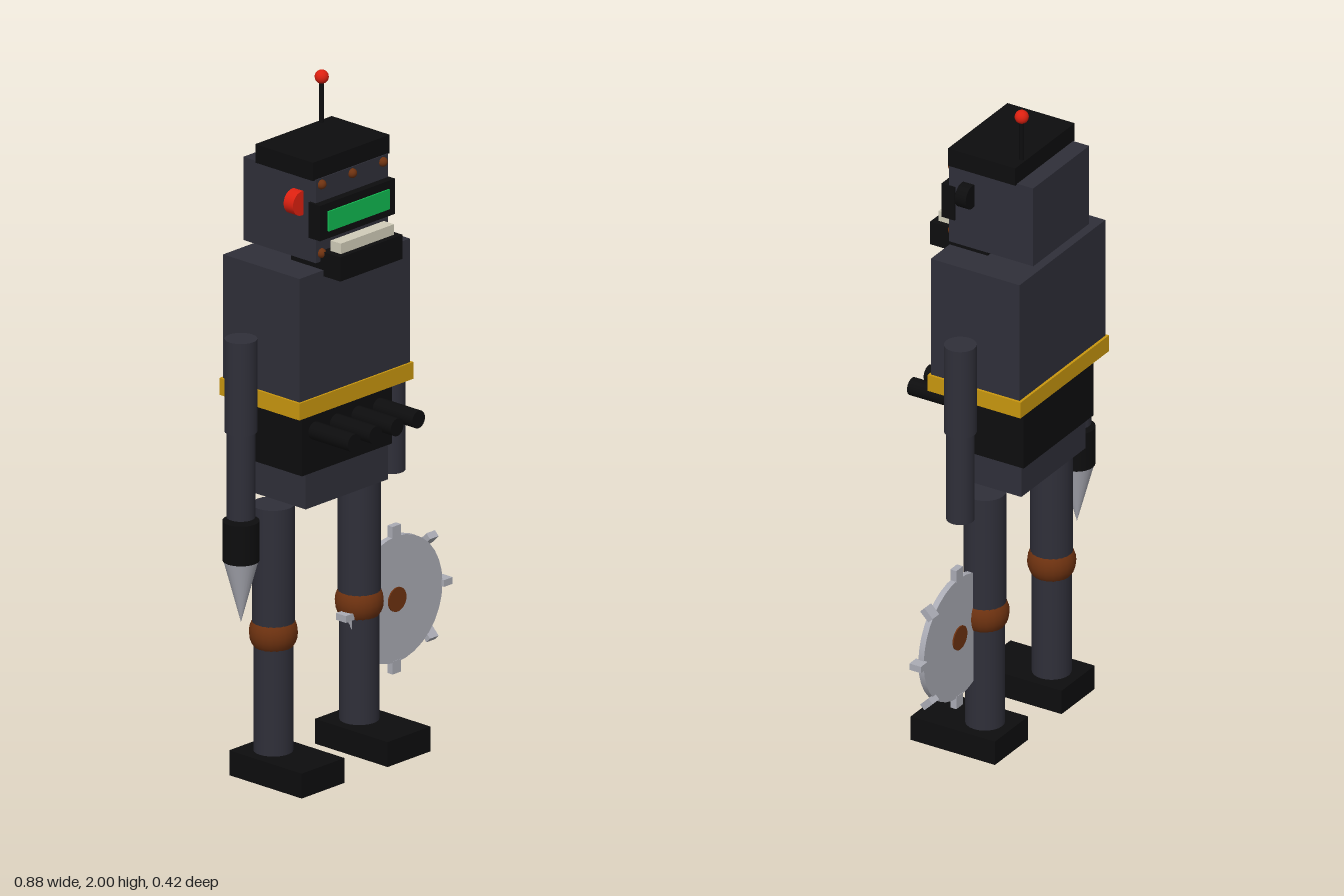
import * as THREE from 'three';

const mat = (name, color) => {
  const m = new THREE.MeshStandardMaterial({ color });
  m.name = name;
  return m;
};

export function createModel() {
  const steel = mat('dark steel', 0x2f2f39);
  const black = mat('black', 0x0d0d0e);
  const gold = mat('gold', 0xc8960f);
  const rust = mat('rust', 0x6e3210);
  const silver = mat('silver', 0xaaabb4);
  const red = mat('red', 0xdc2010);
  const green = mat('green glass', 0x10b850);
  const ivory = mat('ivory', 0xd0ccb8);

  const model = new THREE.Group();
  model.name = 'robot';
  const group = (name) => {
    const g = new THREE.Group();
    g.name = name;
    model.add(g);
    return g;
  };
  const add = (parent, name, geo, material, x, y, z) => {
    const m = new THREE.Mesh(geo, material);
    m.name = name;
    m.position.set(x, y, z);
    parent.add(m);
    return m;
  };
  // box given by its extents on each axis
  const box = (parent, name, material, [x0, x1], [y0, y1], [z0, z1]) =>
    add(parent, name, new THREE.BoxGeometry(x1 - x0, y1 - y0, z1 - z0), material,
      (x0 + x1) / 2, (y0 + y1) / 2, (z0 + z1) / 2);
  // upright cylinder between two heights
  const post = (parent, name, material, r, x, y0, y1, z, rBottom = r) =>
    add(parent, name, new THREE.CylinderGeometry(r, rBottom, y1 - y0, 24), material, x, (y0 + y1) / 2, z);
  // short cylinder along z
  const disc = (parent, name, material, r, depth, x, y, z, sides = 24) => {
    const geo = new THREE.CylinderGeometry(r, r, depth, sides).rotateX(Math.PI / 2);
    return add(parent, name, geo, material, x, y, z);
  };
  const ball = (parent, name, material, r, x, y, z) =>
    add(parent, name, new THREE.SphereGeometry(r, 20, 14), material, x, y, z);

  const CX = -0.083, CZ = -0.057;

  // Body
  const body = group('body');
  box(body, 'chest', steel, [-0.308, 0.142], [1.13, 1.522], [-0.202, 0.09]);
  box(body, 'belt', gold, [-0.315, 0.15], [1.105, 1.155], [-0.21, 0.096]);
  box(body, 'abdomen', black, [-0.266, 0.1], [0.917, 1.11], [-0.189, 0.06]);
  box(body, 'pelvis', steel, [-0.251, 0.085], [0.815, 0.917], [-0.172, 0.06]);
  for (let i = 0; i < 4; i++) {
    disc(body, 'exhaustPipe', black, 0.026, 0.17, CX + (i - 1.5) * 0.0875, 1.04, 0.126);
  }

  // Head
  const head = group('head');
  box(head, 'skull', steel, [-0.23, 0.064], [1.545, 1.792], [-0.198, 0.079]);
  box(head, 'cap', black, [-0.238, 0.074], [1.79, 1.845], [-0.145, 0.076]);
  box(head, 'visorFrame', black, [-0.238, 0.068], [1.618, 1.723], [0.058, 0.102]);
  box(head, 'visorGlass', green, [-0.206, 0.042], [1.64, 1.699], [0.1, 0.107]);
  box(head, 'jaw', black, [-0.21, 0.043], [1.504, 1.576], [-0.035, 0.154]);
  box(head, 'teeth', ivory, [-0.19, 0.027], [1.574, 1.607], [0.098, 0.137]);
  for (const dx of [-0.125, 0, 0.125]) {
    ball(head, 'rivet', rust, 0.014, CX + dx, 1.774, 0.08);
    if (dx) ball(head, 'rivet', rust, 0.014, CX + dx, 1.57, 0.08);
  }
  disc(head, 'rightEar', red, 0.036, 0.036, -0.237, 1.713, 0.014);
  disc(head, 'leftEar', black, 0.036, 0.036, 0.073, 1.713, 0.014);
  post(head, 'antennaRod', black, 0.007, 0.019, 1.84, 1.975, -0.132);
  ball(head, 'antennaTip', red, 0.02, 0.019, 1.98, -0.132);

  // Legs
  for (const [side, x] of [['left', 0.092], ['right', -0.258]]) {
    const leg = group(side + 'Leg');
    post(leg, 'thigh', steel, 0.06, x, 0.425, 0.805, CZ);
    post(leg, 'shin', steel, 0.056, x, 0.04, 0.425, CZ);
    ball(leg, 'knee', rust, 0.069, x, 0.425, CZ);
    box(leg, 'foot', black, [x - 0.087, x + 0.087], [0, 0.074], [-0.144, 0.133]);
  }

  // Arms
  for (const [side, x, bottom] of [['left', 0.223, 0.778], ['right', -0.389, 0.8]]) {
    const arm = group(side + 'Arm');
    post(arm, 'upperArm', steel, 0.046, x, 1.055, 1.33, -0.058);
    post(arm, 'forearm', steel, 0.04, x, bottom, 1.06, -0.058);
  }

  // Spike on the right wrist
  const spike = group('spikeHand');
  post(spike, 'cuff', black, 0.052, -0.389, 0.672, 0.79, -0.058);
  post(spike, 'spike', silver, 0.05, -0.389, 0.488, 0.674, -0.058, 0);

  // Saw below the left arm, each tooth twisted about x by its angle
  const saw = group('sawHand');
  const sx = 0.222, sy = 0.398, sz = -0.045;
  disc(saw, 'sawBlade', silver, 0.187, 0.018, sx, sy, sz, 32);
  disc(saw, 'sawHub', rust, 0.036, 0.026, sx, sy, sz);
  for (let i = 0; i < 8; i++) {
    const a = (i / 8) * Math.PI * 2;
    const tooth = add(saw, 'sawTooth', new THREE.BoxGeometry(0.035, 0.02, 0.038), silver,
      sx + Math.cos(a) * 0.2, sy + Math.sin(a) * 0.2, sz);
    tooth.rotation.x = -a;
  }

  return model;
}
